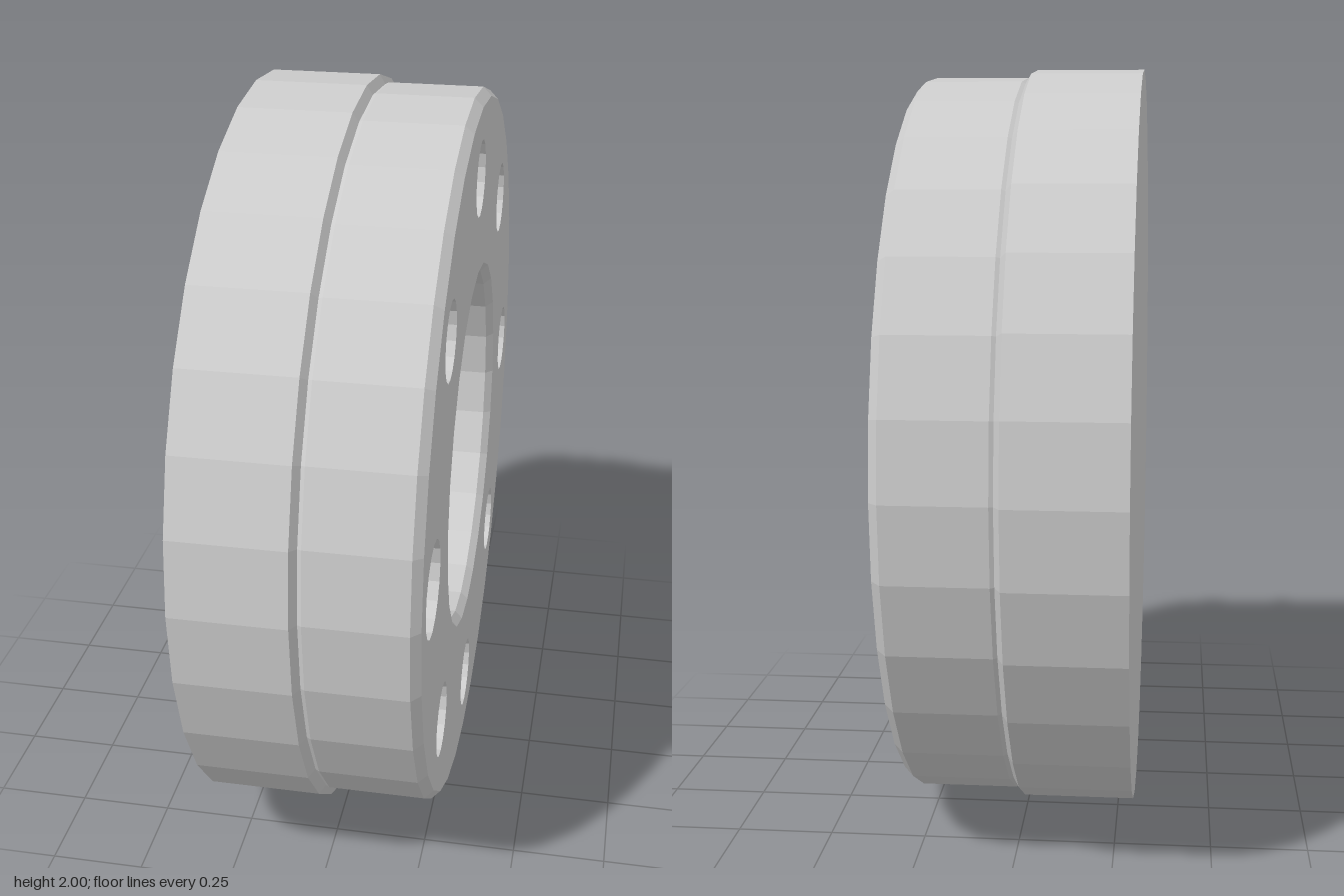
import * as THREE from 'three';

const FRONT = 0.295, BACK = -0.295;

export function createModel() {
  const model = new THREE.Group();
  const material = new THREE.MeshStandardMaterial({ color: 0xcccccc, flatShading: true });

  // The flange is built along z, then turned so that its drilled face looks to +x
  const flange = new THREE.Group();
  flange.name = 'flange';
  flange.rotation.y = Math.PI / 2;
  flange.position.y = 1;
  model.add(flange);

  const add = (name, geometry, parent = flange) => {
    const mesh = new THREE.Mesh(geometry, material);
    mesh.name = name;
    parent.add(mesh);
    return mesh;
  };

  // Turned part from [radius, z] pairs
  const turned = (profile, sides) => new THREE.LatheGeometry(
    profile.map(([r, z]) => new THREE.Vector2(r, z)), sides).rotateX(Math.PI / 2);

  // Regular polygon outline
  const ring = (cx, cy, r, sides) => Array.from({ length: sides }, (_, i) => {
    const a = (i / sides) * Math.PI * 2;
    return new THREE.Vector2(cx + r * Math.cos(a), cy + r * Math.sin(a));
  });

  // Back disc, wider than the front one, with a closed back
  add('backDisc', turned([[0, BACK], [1, BACK], [1, -0.005], [0.975, 0.01]], 32));

  // Front disc with a chamfered rim
  add('frontDisc', turned([[0.975, 0.01], [0.98, 0.02], [0.98, 0.272], [0.957, FRONT]], 32));

  // Shallow central recess with a chamfered lip
  add('centreRecess', turned([[0.51, FRONT], [0.49, 0.275], [0.49, 0.145], [0, 0.145]], 24));

  // Drilled face and its eight blind holes, one of them larger
  const face = new THREE.Shape(ring(0, 0, 0.957, 32));
  face.holes.push(new THREE.Path(ring(0, 0, 0.51, 24)));
  const holes = new THREE.Group();
  holes.name = 'boltHoles';
  flange.add(holes);
  for (let i = 0; i < 8; i++) {
    const a = (i / 8) * Math.PI * 2;
    const cx = 0.77 * Math.cos(a), cy = 0.77 * Math.sin(a);
    const r = i === 4 ? 0.122 : 0.101;
    face.holes.push(new THREE.Path(ring(cx, cy, r, 16)));
    const hole = add('boltHole', turned([[r, FRONT], [r, 0.04], [0, 0.04]], 16), holes);
    hole.position.set(cx, cy, 0);
  }
  add('drilledFace', new THREE.ShapeGeometry(face).translate(0, 0, FRONT));

  return model;
}
